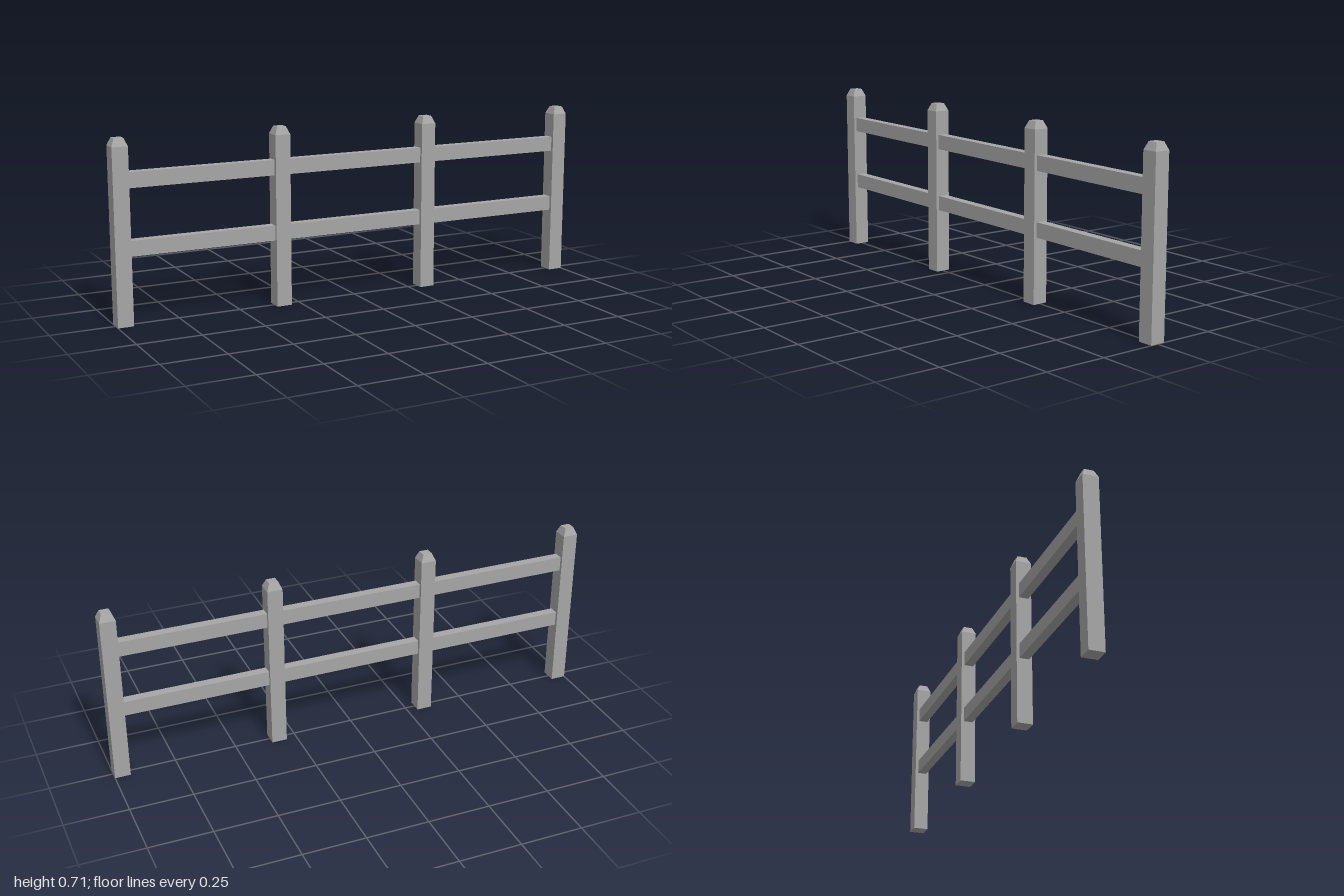
import * as THREE from 'three';

export function createModel() {
  const fence = new THREE.Group();
  fence.name = 'fence';
  const grey = new THREE.MeshStandardMaterial({ color: 0xa6a6a6 });
  grey.name = 'grey';

  const postWidth = 0.062, shoulder = 0.68, postTop = 0.71, tipWidth = 0.037;
  const postX = [-0.969, -0.323, 0.323, 0.969];

  // square post: the upper ring of a two-segment box is pulled in to bevel the top
  const postGeometry = new THREE.BoxGeometry(postWidth, 2, postWidth, 1, 2, 1);
  const p = postGeometry.attributes.position;
  for (let i = 0; i < p.count; i++) {
    const level = Math.round(p.getY(i)) + 1;
    const taper = level === 2 ? tipWidth / postWidth : 1;
    p.setXYZ(i, p.getX(i) * taper, [0, shoulder, postTop][level], p.getZ(i) * taper);
  }
  const flatPost = postGeometry.toNonIndexed();
  flatPost.computeVertexNormals();

  postX.forEach((x, i) => {
    const post = new THREE.Mesh(flatPost, grey);
    post.name = `post${i + 1}`;
    post.position.x = x;
    fence.add(post);
  });

  // two rows of rails, each spanning the gap between neighbouring posts
  const span = postX[1] - postX[0] - postWidth;
  const railGeometry = new THREE.BoxGeometry(span, 0.06, 0.038);
  for (const [row, y] of [['lower', 0.294], ['upper', 0.552]]) {
    for (let i = 0; i < 3; i++) {
      const rail = new THREE.Mesh(railGeometry, grey);
      rail.name = `${row}Rail${i + 1}`;
      rail.position.set((postX[i] + postX[i + 1]) / 2, y, 0);
      fence.add(rail);
    }
  }
  return fence;
}
